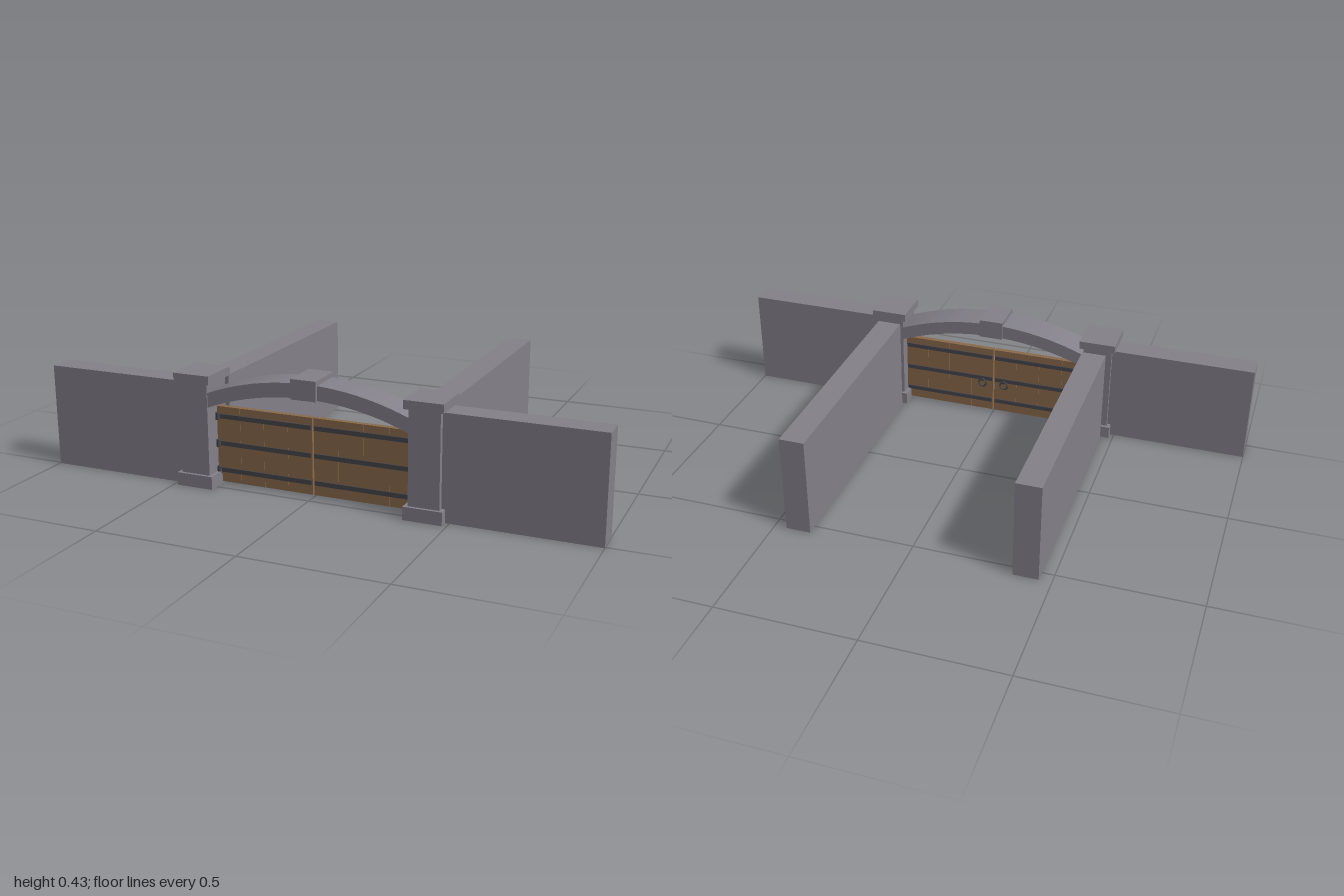
import * as THREE from 'three';

export function createModel() {
  const root = new THREE.Group();
  const mat = (name, color) => {
    const m = new THREE.MeshStandardMaterial({ color });
    m.name = name;
    return m;
  };
  const stone = mat('grey stone', 0x84818a);
  const wood = mat('brown wood', 0x8b6a4b);
  const iron = mat('dark iron', 0x47464b);

  const add = (name, geometry, material, parent = root) => {
    const mesh = new THREE.Mesh(geometry, material);
    mesh.name = name;
    parent.add(mesh);
    return mesh;
  };
  // Box given by its limits on each axis
  const box = (name, [x0, x1], [y0, y1], [z0, z1], material, parent) => {
    const mesh = add(name, new THREE.BoxGeometry(Math.abs(x1 - x0), y1 - y0, z1 - z0), material, parent);
    mesh.position.set((x0 + x1) / 2, (y0 + y1) / 2, (z0 + z1) / 2);
    return mesh;
  };

  const doorBack = 0.441, doorFront = 0.46;

  for (const s of [-1, 1]) {
    const side = s > 0 ? 'left' : 'right';

    // Walls: one continuing the front, one running back
    box(side + 'FrontWall', [s * 0.46, s], [0, 0.367], [0.415, 0.505], stone);
    box(side + 'BackWall', [s * 0.365, s * 0.455], [0, 0.367], [-0.54, 0.372], stone);

    // Gate pillar with plinth and cap
    const pillar = new THREE.Group();
    pillar.name = side + 'Pillar';
    root.add(pillar);
    box('plinth', [s * 0.35, s * 0.485], [0, 0.046], [0.387, 0.535], stone, pillar);
    box('shaft', [s * 0.364, s * 0.472], [0.046, 0.372], [0.399, 0.524], stone, pillar);
    box('cap', [s * 0.35, s * 0.485], [0.372, 0.402], [0.387, 0.535], stone, pillar);

    // Door leaf made of upright planks
    const door = new THREE.Group();
    door.name = side + 'Door';
    root.add(door);
    const planks = 4, inner = 0.003, width = (0.366 - inner) / planks;
    for (let i = 0; i < planks; i++) {
      const x = inner + i * width;
      box('plank', [s * x, s * (x + width - 0.0008)], [0.008, 0.279], [doorBack, doorFront], wood, door);
    }

    // Iron straps on both faces, with hinge barrels at the pillar
    for (const y of [0.052, 0.148, 0.245]) {
      box('strap', [s * 0.006, s * 0.362], [y - 0.008, y + 0.008], [doorBack - 0.005, doorFront + 0.005], iron, door);
      const hinge = add('hinge', new THREE.CylinderGeometry(0.009, 0.009, 0.026, 10), iron, door);
      hinge.position.set(s * 0.358, y, doorFront + 0.004);
    }

    // Ring handle on the inside
    const ring = add('ringHandle', new THREE.TorusGeometry(0.015, 0.0035, 6, 16), iron, door);
    ring.position.set(s * 0.044, 0.128, doorBack - 0.006);
    const boss = add('handleBoss', new THREE.CylinderGeometry(0.006, 0.006, 0.012, 8), iron, door);
    boss.rotation.x = Math.PI / 2;
    boss.position.set(s * 0.044, 0.143, doorBack - 0.005);
  }

  // Shallow arch between the pillars
  const half = 0.368, steps = 20;
  const curve = (top, sag, x) => {
    const r = (half * half + sag * sag) / (2 * sag);
    return top - r + Math.sqrt(r * r - x * x);
  };
  const outline = [];
  for (let i = 0; i <= steps; i++) {
    const x = -half + (2 * half * i) / steps;
    outline.push(new THREE.Vector2(x, curve(0.36, 0.073, x)));
  }
  for (let i = steps; i >= 0; i--) {
    const x = -half + (2 * half * i) / steps;
    outline.push(new THREE.Vector2(x, curve(0.41, 0.072, x)));
  }
  const archGeometry = new THREE.ExtrudeGeometry(new THREE.Shape(outline), { depth: 0.122, bevelEnabled: false });
  add('arch', archGeometry, stone).position.z = 0.398;

  // Keystone
  box('keystone', [-0.045, 0.045], [0.357, 0.426], [0.391, 0.531], stone);

  return root;
}
